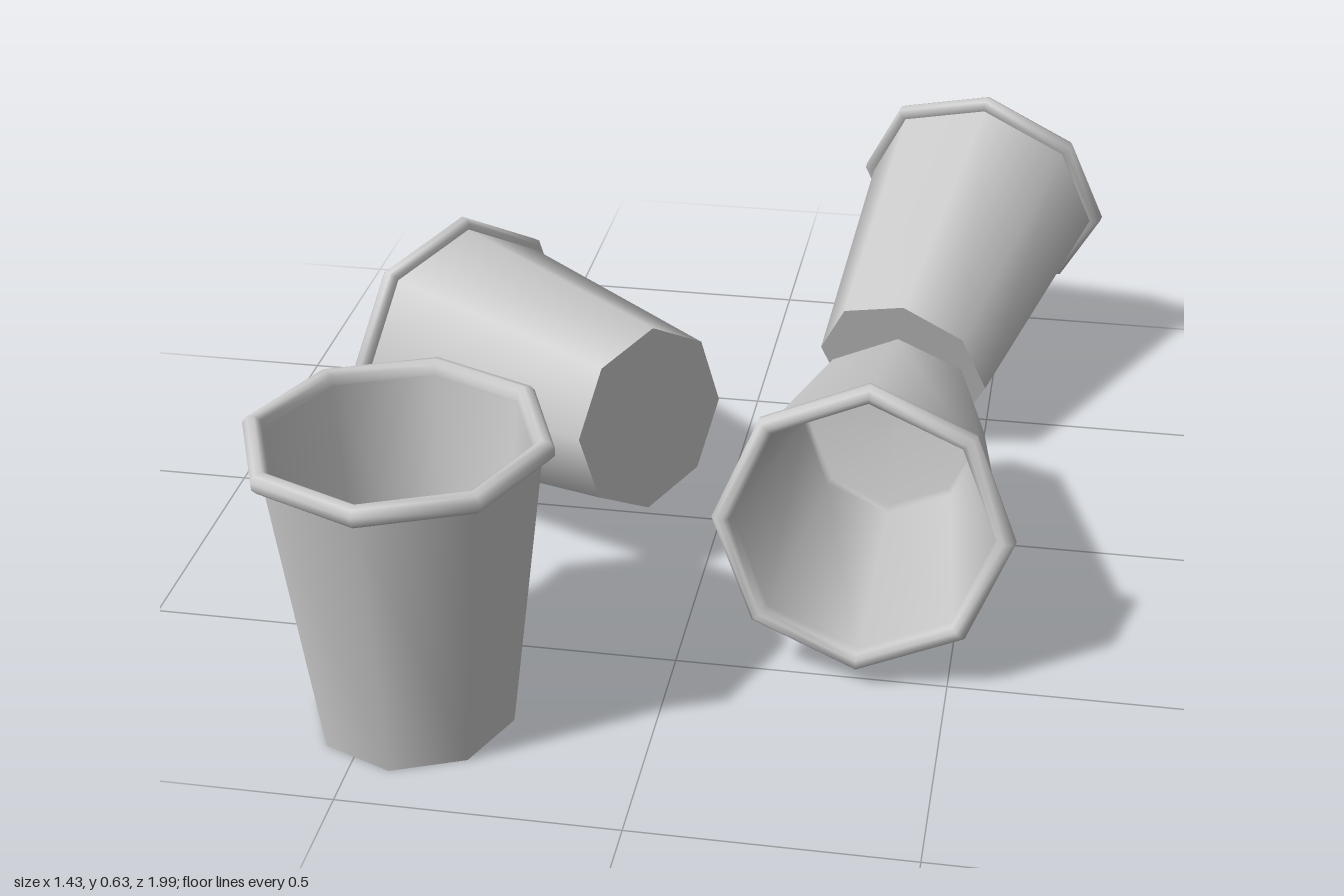
import * as THREE from 'three';

const SIDES = 8;
const material = new THREE.MeshStandardMaterial({ color: 0xcccccc });

// Eight-sided turned part from [radius, height] pairs
function turned(name, profile) {
  const points = profile.map(([r, y]) => new THREE.Vector2(r, y));
  const mesh = new THREE.Mesh(new THREE.LatheGeometry(points, SIDES), material);
  mesh.name = name;
  return mesh;
}

// One tapered cup standing on its base
function createCup(name) {
  const cup = new THREE.Group();
  cup.name = name;
  cup.add(
    turned('base', [[0, 0], [0.18, 0]]),
    turned('outerWall', [[0.18, 0], [0.25, 0.548]]),
    turned('rolledRim', [
      [0.246, 0.546], [0.262, 0.543], [0.271, 0.552], [0.272, 0.566],
      [0.264, 0.577], [0.25, 0.58], [0.239, 0.573], [0.236, 0.556],
    ]),
    turned('innerWall', [[0.236, 0.556], [0.175, 0.03], [0.165, 0.015], [0, 0.012]]),
  );
  return cup;
}

// Lay a cup down: base centre, direction to the rim, roll about its own axis
function layDown(cup, base, direction, rollDegrees) {
  const axis = new THREE.Vector3(...direction).normalize();
  const up = new THREE.Vector3(0, 1, 0).addScaledVector(axis, -axis.y).normalize();
  const side = new THREE.Vector3().crossVectors(axis, up);
  cup.quaternion.setFromRotationMatrix(new THREE.Matrix4().makeBasis(side, axis, up));
  cup.rotateY(THREE.MathUtils.degToRad(rollDegrees));
  cup.position.set(...base);
  return cup;
}

export function createModel() {
  const model = new THREE.Group();
  model.name = 'cups';

  const standing = createCup('standingCup');
  standing.position.set(-0.43, 0, 0.728);

  model.add(
    standing,
    layDown(createCup('frontLyingCup'), [0.335, 0.205, -0.08], [0, 0.1, 0.565], 0),
    layDown(createCup('backLyingCup'), [0.325, 0.185, -0.363], [0.123, 0.187, -0.53], 5),
    layDown(createCup('sideLyingCup'), [-0.1, 0.335, 0.2], [-0.46, -0.055, -0.335], 8),
  );
  return model;
}
